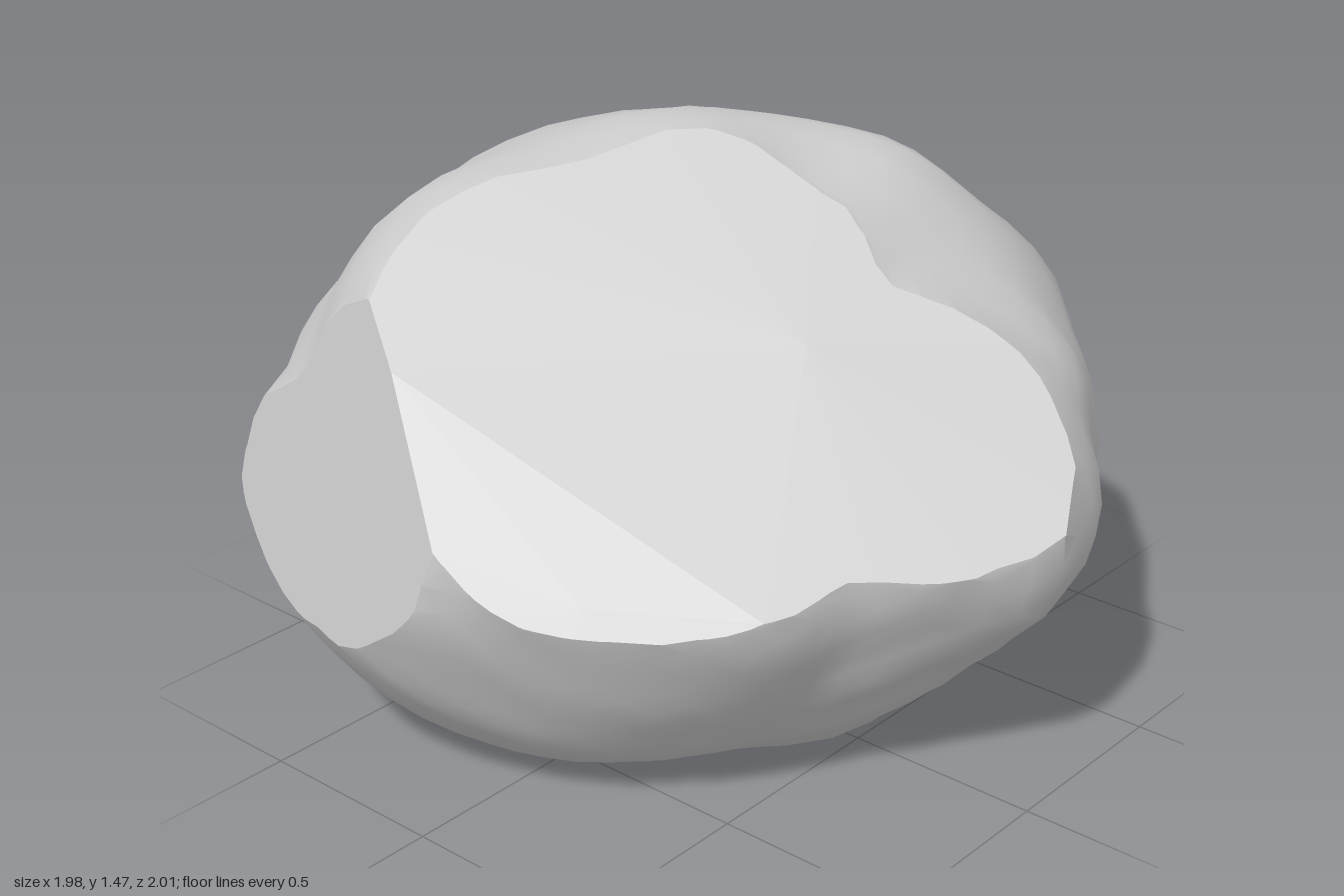
import * as THREE from 'three';
import { mergeVertices } from 'three/addons/utils/BufferGeometryUtils.js';

// Widest outline of the boulder (x, z), going round from +x towards +z
const OUTLINE = [
  [0.98, 0.1], [0.95, 0.3], [0.88, 0.5], [0.7, 0.67], [0.5, 0.81], [0.3, 0.95], [0.07, 1],
  [-0.1, 0.91], [-0.33, 0.72], [-0.57, 0.61], [-0.77, 0.43], [-0.97, 0.05], [-1.04, -0.2],
  [-1.0, -0.55], [-0.85, -0.8], [-0.4, -0.94], [-0.2, -1], [0.15, -0.94], [0.42, -0.81],
  [0.65, -0.68], [0.8, -0.42], [0.97, -0.1],
].map(([x, z]) => ({ a: (Math.atan2(z, x) + 2 * Math.PI) % (2 * Math.PI), r: Math.hypot(x, z) }));

function outlineRadius(angle) {
  const tau = 2 * Math.PI, n = OUTLINE.length;
  const a = (angle + tau) % tau;
  for (let i = 0; i < n; i++) {
    const p = OUTLINE[i], q = OUTLINE[(i + 1) % n];
    const span = (q.a - p.a + tau) % tau, t = (a - p.a + tau) % tau;
    if (t <= span) return p.r + (q.r - p.r) * (t / span);
  }
  return 1;
}

// Hollows (negative) and bulges: x, y, z, amount, squared width
const BULGES = [
  [0.15, 1.3, 0.6, -0.17, 0.2], // broad hollow beside the large broken face
  [0.1, 1.2, 0.52, -0.08, 0.04],
  [0.14, 1.42, 0.2, -0.05, 0.03],
  [0.3, 1.1, 0.8, -0.03, 0.03],
  [0.35, 0, 0.25, -0.11, 0.08], // undercut beside the base
  [0.35, 0, -0.25, -0.11, 0.08],
  [0.45, 1.32, 0.2, 0.06, 0.05], // shoulder
  [-0.05, 1.46, -0.12, 0.03, 0.05], // peak
  [-0.27, 1.4, -0.1, -0.04, 0.03],
  [-0.65, 1.28, -0.35, 0.04, 0.05],
  [0, 1.3, -0.55, 0.03, 0.08], // back
  [0.55, 1.15, -0.5, 0.035, 0.1],
  [0.62, 0.22, -0.5, 0.05, 0.08],
  [0, 0.98, -0.85, 0.03, 0.06],
  [-0.8, 1.05, -0.7, -0.07, 0.1], // sloping corner above the side face
  [-0.82, 1, -0.33, 0.04, 0.03],
  [-0.9, 0.35, 0.1, -0.03, 0.08],
].map(([x, y, z, amount, width]) => ({ at: new THREE.Vector3(x, y, z), amount, width }));

// Uneven stone surface: rounded body with bulges and small lumps
const CENTRE = new THREE.Vector3(0, 0.65, 0);
function stonePoint(d) {
  const flat = Math.hypot(d.x, d.z);
  const k = outlineRadius(Math.atan2(d.z, d.x));
  const low = Math.max(0, -d.y);
  const p = new THREE.Vector3(
    d.x * k - 0.12 * low * low,
    0.65 + d.y * (d.y > 0 ? 0.82 : 0.72),
    d.z * k * (1 - 0.7 * low * low * (1 - low)));
  let scale = 1
    + 0.012 * Math.sin(6 * d.x + 4 * d.y + 1) * Math.sin(7 * d.z - 3 * d.y)
    + 0.01 * Math.sin(11 * d.x - 8 * d.z + 2) * Math.sin(12 * d.y + 5 * d.z)
    + 0.007 * flat * Math.sin(21 * d.x + 9 * d.y) * Math.sin(19 * d.z + 14 * d.y + 1);
  for (const b of BULGES) scale += b.amount * Math.exp(-p.distanceToSquared(b.at) / b.width);
  return p.sub(CENTRE).multiplyScalar(scale).add(CENTRE);
}

// Cut a polygon by a plane, keeping the inner side and noting the new corners
function clip(poly, plane, rim) {
  const out = [];
  poly.forEach((p, i) => {
    const q = poly[(i + 1) % poly.length];
    const dp = plane.distanceToPoint(p), dq = plane.distanceToPoint(q);
    if (dp <= 0) out.push(p);
    if ((dp <= 0) !== (dq <= 0)) {
      const c = p.clone().lerp(q, dp / (dp - dq));
      out.push(c);
      rim.push(c);
    }
  });
  return out;
}

const middle = (pts) => pts.reduce((s, p) => s.add(p), new THREE.Vector3()).divideScalar(pts.length);

// Order rim points round the plane normal to make the flat face
function capFrom(rim, normal) {
  const mid = middle(rim);
  const u = new THREE.Vector3(0.3, 0.2, 0.9).cross(normal).normalize();
  const v = normal.clone().cross(u);
  const angle = (p) => Math.atan2(p.clone().sub(mid).dot(v), p.clone().sub(mid).dot(u));
  return rim.map((p) => ({ p, a: angle(p) })).sort((s, t) => s.a - t.a)
    .map((e) => e.p).filter((p, i, l) => i === 0 || p.distanceTo(l[i - 1]) > 1e-5);
}

function toGeometry(polys, fromMiddle) {
  const pos = [];
  const tri = (...pts) => pts.forEach((p) => pos.push(p.x, p.y, p.z));
  for (const poly of polys) {
    const n = poly.length;
    if (fromMiddle) {
      const mid = middle(poly);
      poly.forEach((p, i) => tri(mid, p, poly[(i + 1) % n]));
    } else {
      for (let i = 1; i < n - 1; i++) tri(poly[0], poly[i], poly[i + 1]);
    }
  }
  const g = new THREE.BufferGeometry();
  g.setAttribute('position', new THREE.Float32BufferAttribute(pos, 3));
  return g;
}

export function createModel() {
  const group = new THREE.Group();
  group.name = 'boulder';
  const material = new THREE.MeshStandardMaterial({ color: 0xcccccc });

  // Rounded skin as triangles
  const ball = new THREE.IcosahedronGeometry(1, 11).getAttribute('position');
  const surfaces = [{ name: 'stoneSkin', polys: [] }];
  for (let i = 0; i < ball.count; i += 3) {
    surfaces[0].polys.push([0, 1, 2].map((j) =>
      stonePoint(new THREE.Vector3().fromBufferAttribute(ball, i + j).normalize())));
  }

  // Flat broken faces: name, outward normal, offset
  const cuts = [
    ['largeBrokenFace', [-0.64, 1, 0.81], 1.44],
    ['cornerBrokenFace', [-0.96, 1, 0.93], 1.687],
    ['sideBrokenFace', [-0.95, 0.2, -0.19], 1.058],
    ['base', [0, -1, 0], 0],
  ];
  for (const [name, n, offset] of cuts) {
    const plane = new THREE.Plane(new THREE.Vector3(...n), -offset).normalize();
    const rim = [];
    for (const s of surfaces) {
      s.polys = s.polys.map((p) => clip(p, plane, rim)).filter((p) => p.length > 2);
    }
    surfaces.push({ name, polys: [capFrom(rim, plane.normal)] });
  }

  for (const { name, polys } of surfaces) {
    const skin = name === 'stoneSkin';
    let g = toGeometry(polys, !skin);
    if (skin) g = mergeVertices(g, 1e-4);
    g.computeVertexNormals();
    const mesh = new THREE.Mesh(g, material);
    mesh.name = name;
    group.add(mesh);
  }

  // Centre over the ground
  const mid = new THREE.Box3().setFromObject(group).getCenter(new THREE.Vector3());
  for (const mesh of group.children) mesh.geometry.translate(-mid.x, 0, -mid.z);
  return group;
}
